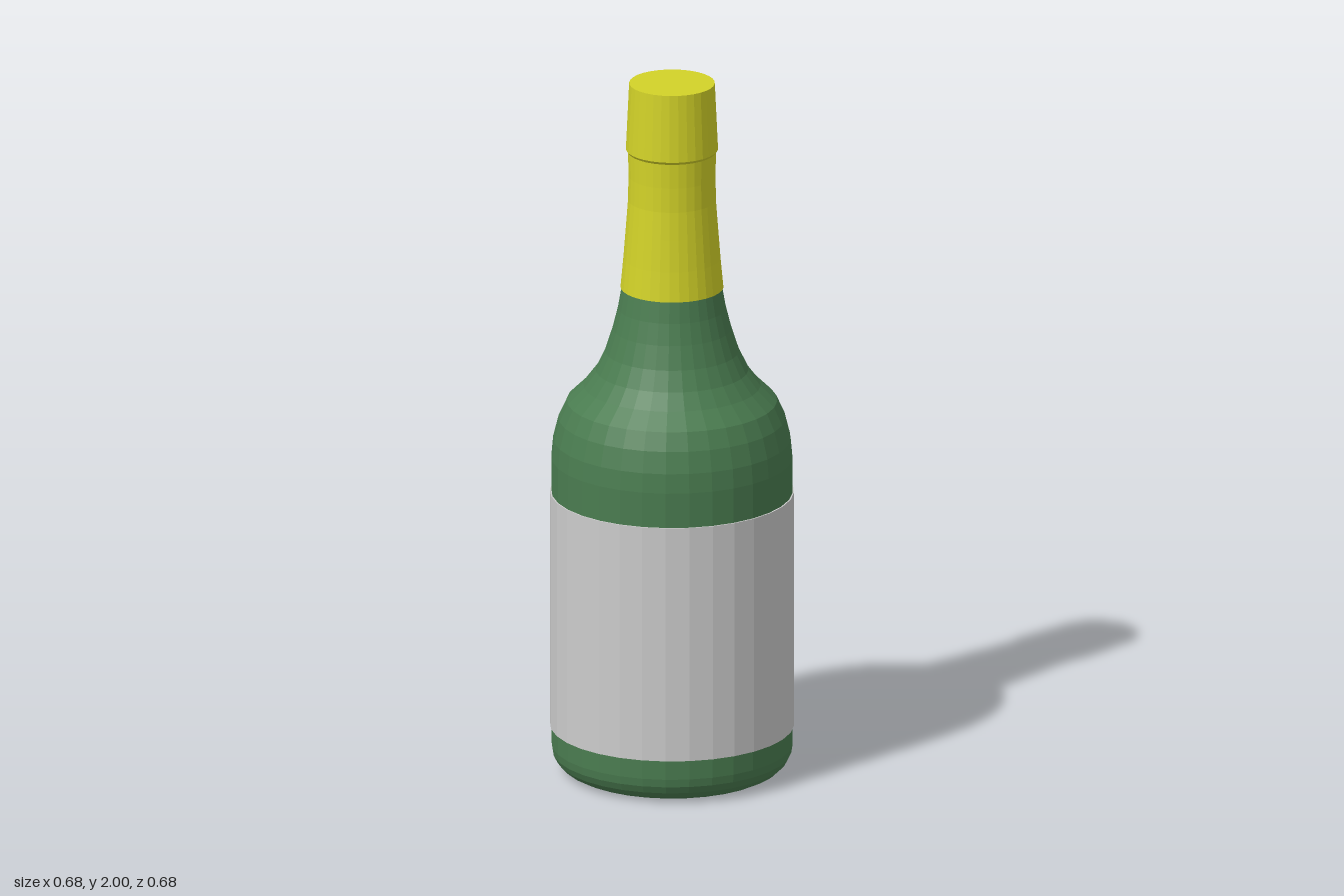
import * as THREE from 'three';

const SIDES = 32;

// Turned part from [radius, height] pairs, listed bottom to top
function turned(name, profile, color) {
  const points = profile.map(([r, y]) => new THREE.Vector2(r, y));
  const mesh = new THREE.Mesh(
    new THREE.LatheGeometry(points, SIDES),
    new THREE.MeshStandardMaterial({ color, flatShading: true })
  );
  mesh.name = name;
  return mesh;
}

export function createModel() {
  const bottle = new THREE.Group();
  bottle.name = 'bottle';

  // Glass: flat base, rounded foot, straight body, domed shoulder, flared neck
  const foot = [];
  for (let i = 0; i <= 5; i++) {
    const a = (i / 5) * Math.PI / 2;
    foot.push([0.26 + 0.075 * Math.sin(a), 0.075 - 0.075 * Math.cos(a)]);
  }
  bottle.add(turned('glassBody', [
    [0, 0], ...foot,
    [0.335, 0.91], [0.33, 0.965], [0.315, 1.025], [0.292, 1.075],
    [0.246, 1.12], [0.212, 1.165], [0.186, 1.22], [0.165, 1.285],
    [0.15, 1.345], [0.137, 1.42], [0.118, 1.6], [0.113, 1.7],
    [0.113, 1.95], [0, 1.95],
  ], 0x4a7c50));

  // Paper label wrapped around the body
  bottle.add(turned('label', [
    [0.334, 0.13], [0.339, 0.13], [0.339, 0.81], [0.334, 0.81],
  ], 0xcccccc));

  // Foil over the neck with a lip and a flat top
  bottle.add(turned('neckFoil', [
    [0.13, 1.405], [0.143, 1.405], [0.135, 1.49], [0.128, 1.58],
    [0.122, 1.66], [0.121, 1.73], [0.122, 1.8], [0.128, 1.808],
    [0.119, 2], [0, 2],
  ], 0xd2d228));

  return bottle;
}
